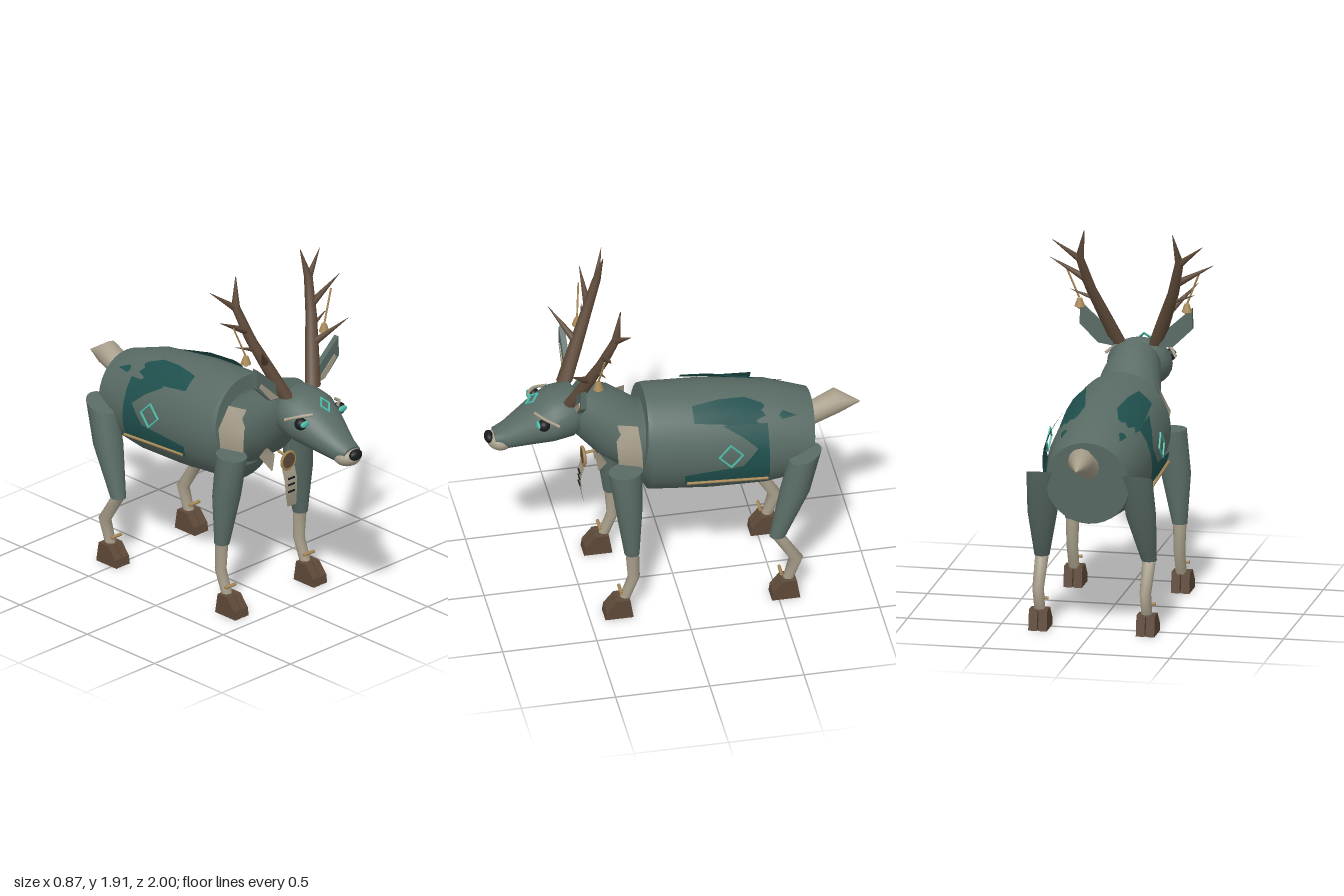
import * as THREE from 'three';

const mat = (name, color, side = THREE.FrontSide) => {
  const m = new THREE.MeshStandardMaterial({ color, side });
  m.name = name;
  return m;
};
const V = (p) => new THREE.Vector3(...p);
const UP = Math.PI / 2; // section tilt for vertical limbs

// Skin over elliptical sections [x, y, z, rx, ry, tilt], with flat end caps
function loft(sections, n = 24) {
  const pos = [], idx = [];
  const ring = ([x, y, z, rx, ry, t = 0]) => {
    for (let j = 0; j < n; j++) {
      const a = (j / n) * Math.PI * 2, u = Math.sin(a) * ry;
      pos.push(x + Math.cos(a) * rx, y + u * Math.cos(t), z + u * Math.sin(t));
    }
  };
  sections.forEach(ring);
  const [s, e] = [sections[0], sections[sections.length - 1]];
  const t = s[5] || 0;
  const forward = -Math.sin(t) * (e[1] - s[1]) + Math.cos(t) * (e[2] - s[2]) > 0;
  const tri = (a, b, c) => (forward ? idx.push(a, b, c) : idx.push(a, c, b));
  for (let i = 0; i < sections.length - 1; i++) {
    for (let j = 0; j < n; j++) {
      const k = (j + 1) % n, a = i * n, b = a + n;
      tri(a + j, a + k, b + j);
      tri(a + k, b + k, b + j);
    }
  }
  [s, e].forEach((sec, end) => {
    const base = pos.length / 3;
    ring(sec);
    for (let j = 1; j < n - 1; j++) {
      if (end) tri(base, base + j, base + j + 1);
      else tri(base, base + j + 1, base + j);
    }
  });
  return build(pos, idx);
}

function build(pos, idx) {
  const g = new THREE.BufferGeometry();
  g.setAttribute('position', new THREE.Float32BufferAttribute(pos, 3));
  g.setIndex(idx);
  g.computeVertexNormals();
  return g;
}

// Thin sheet through rows of points
function sheet(rows) {
  const w = rows[0].length, idx = [];
  for (let i = 0; i < rows.length - 1; i++) {
    for (let j = 0; j < w - 1; j++) {
      const a = i * w + j, b = a + w;
      idx.push(a, a + 1, b, a + 1, b + 1, b);
    }
  }
  return build(rows.flat(2), idx);
}

// Tapered rod between two points
function rod(a, b, r0, r1, n = 8) {
  const A = V(a), d = V(b).sub(A);
  const g = new THREE.CylinderGeometry(r1, r0, d.length(), n);
  g.translate(0, d.length() / 2, 0);
  g.applyQuaternion(new THREE.Quaternion().setFromUnitVectors(new THREE.Vector3(0, 1, 0), d.normalize()));
  return g.translate(A.x, A.y, A.z);
}

const ball = (c, r, n = 16) => new THREE.SphereGeometry(1, n, 12).scale(...r).translate(...c);

// Flat outline in x/y pushed along z
const slab = (pts, depth) => new THREE.ExtrudeGeometry(
  new THREE.Shape(pts.map((p) => new THREE.Vector2(...p))), { depth, bevelEnabled: false });

// Diamond frame lying in x/y
function diamond(w, h, t) {
  const pts = (k) => [[0, h * k], [-w * k, 0], [0, -h * k], [w * k, 0]].map((p) => new THREE.Vector2(...p));
  const s = new THREE.Shape(pts(1));
  s.holes.push(new THREE.Path(pts(1 - t)));
  return new THREE.ExtrudeGeometry(s, { depth: 0.008, bevelEnabled: false });
}

function mirrored(g) {
  const m = g.clone().scale(-1, 1, 1);
  const n = m.attributes.position.count;
  const src = m.index ? [...m.index.array] : [...Array(n).keys()];
  for (let i = 0; i < src.length; i += 3) [src[i + 1], src[i + 2]] = [src[i + 2], src[i + 1]];
  m.setIndex(src);
  m.computeVertexNormals();
  return m;
}

export function createModel() {
  const coat = mat('grey green coat', 0x596b65);
  const pale = mat('pale fur', 0xa89f8b, THREE.DoubleSide);
  const horn = mat('brown horn', 0x5e4a39);
  const cloth = mat('dark teal cloth', 0x1f504d, THREE.DoubleSide);
  const glow = mat('bright teal', 0x4fbba8);
  const black = mat('black', 0x191b1b);
  const gold = mat('dull gold', 0xa98a58);

  const model = new THREE.Group();
  const add = (name, geo, m) => {
    const mesh = new THREE.Mesh(geo, m);
    mesh.name = name;
    model.add(mesh);
  };
  const pair = (name, geo, m) => {
    add(name + 'Left', geo, m);
    add(name + 'Right', mirrored(geo), m);
  };

  // Trunk, neck, tail
  add('body', loft([
    [0, 0.965, 0.18, 0.24, 0.245, -0.1], [0, 0.92, 0.145, 0.265, 0.29, -0.05],
    [0, 0.895, -0.17, 0.272, 0.297], [0, 0.865, -0.485, 0.26, 0.277, -0.1],
    [0, 0.838, -0.708, 0.222, 0.225, -0.1]], 32), coat);
  add('neck', loft([
    [0, 0.94, 0.15, 0.19, 0.18, -0.15], [0, 0.945, 0.22, 0.2, 0.19, -0.15],
    [0, 1.06, 0.37, 0.165, 0.195, -0.2], [0, 1.175, 0.515, 0.13, 0.133, -0.35]]), coat);
  add('tail', loft([
    [0, 0.93, -0.72, 0.065, 0.068, -0.1], [0, 1.0, -0.87, 0.07, 0.067, 0.15],
    [0, 0.975, -0.995, 0.002, 0.002]], 12), pale);

  // Head
  add('head', loft([
    [0, 1.14, 0.487, 0.1, 0.085], [0, 1.155, 0.545, 0.16, 0.138], [0, 1.135, 0.65, 0.168, 0.135],
    [0, 1.1, 0.745, 0.135, 0.115], [0, 1.032, 0.89, 0.08, 0.07], [0, 1.035, 0.95, 0.058, 0.03]]), coat);
  add('muzzle', ball([0, 1.008, 0.915], [0.078, 0.053, 0.072]), pale);
  add('nose', ball([0, 1.03, 0.975], [0.042, 0.03, 0.025]), black);
  pair('eye', ball([0.14, 1.165, 0.71], [0.033, 0.033, 0.033]), black);
  pair('iris', ball([0.138, 1.17, 0.738], [0.03, 0.018, 0.012]), glow);
  pair('brow', new THREE.TubeGeometry(new THREE.CatmullRomCurve3(
    [[0.09, 1.215, 0.75], [0.14, 1.207, 0.71], [0.185, 1.178, 0.635]].map(V)), 8, 0.009, 6), pale);
  add('foreheadMark', diamond(0.033, 0.048, 0.3).rotateX(-0.82).translate(0, 1.24, 0.745), glow);

  // Ears with pale lining
  pair('ear', slab([[0.12, 1.25], [0.2, 1.262], [0.3, 1.36], [0.297, 1.47], [0.13, 1.32]], 0.03)
    .translate(0, 0, 0.515), coat);
  pair('earLining', slab([[0.14, 1.262], [0.2, 1.268], [0.28, 1.36], [0.265, 1.38]], 0.006)
    .translate(0, 0, 0.543), pale);

  // Antlers
  pair('antler', loft([
    [0.1, 1.26, 0.555, 0.042, 0.042, UP], [0.16, 1.42, 0.487, 0.037, 0.037, UP],
    [0.22, 1.58, 0.42, 0.03, 0.03, UP], [0.265, 1.76, 0.353, 0.023, 0.023, UP],
    [0.235, 1.915, 0.323, 0.002, 0.002, UP]], 10), horn);
  const tines = [
    [[0.175, 1.45, 0.48], [0.315, 1.59, 0.6], 0.022], [[0.235, 1.63, 0.405], [0.435, 1.74, 0.41], 0.022],
    [[0.262, 1.75, 0.355], [0.4, 1.865, 0.3], 0.02], [[0.2, 1.52, 0.44], [0.33, 1.57, 0.42], 0.014]];
  for (const [a, b, r] of tines) pair('tine', rod(a, b, r, 0.001), horn);
  pair('charmCord', rod([0.355, 1.69, 0.43], [0.288, 1.52, 0.45], 0.005, 0.005, 6), gold);
  pair('charmBell', rod([0.285, 1.472, 0.45], [0.285, 1.515, 0.45], 0.028, 0.013, 12), gold);
  pair('charmClapper', ball([0.285, 1.47, 0.45], [0.015, 0.013, 0.015], 10), gold);

  // Legs
  const hoof = [[0, 0], [0.15, 0], [0.143, 0.045], [0.09, 0.11], [0.018, 0.11]];
  const legs = [
    { name: 'front', hoofZ: 0.272, bandZ: 0.335,
      upper: [[0.24, 0.88, 0.297, 0.075, 0.09], [0.262, 0.65, 0.283, 0.08, 0.07], [0.285, 0.38, 0.272, 0.04, 0.04]],
      lower: [[0.285, 0.385, 0.27, 0.036, 0.036], [0.285, 0.23, 0.262, 0.031, 0.032], [0.285, 0.1, 0.31, 0.029, 0.029]] },
    { name: 'rear', hoofZ: -0.612, bandZ: -0.515,
      upper: [[0.25, 0.865, -0.655, 0.085, 0.09], [0.262, 0.65, -0.597, 0.08, 0.078], [0.285, 0.385, -0.5, 0.04, 0.043]],
      lower: [[0.285, 0.385, -0.5, 0.036, 0.036], [0.285, 0.23, -0.598, 0.031, 0.038], [0.285, 0.1, -0.555, 0.029, 0.029]] }];
  for (const { name, hoofZ, bandZ, upper, lower } of legs) {
    const tilt = name === 'rear' ? UP + 0.35 : UP + 0.05;
    pair(name + 'UpperLeg', loft(upper.map((s, i) => [...s, i ? UP : tilt]), 16), coat);
    pair(name + 'LowerLeg', loft(lower.map((s) => [...s, UP]), 12), pale);
    for (const x of [0.283, 0.335]) {
      pair(name + 'Hoof', slab(hoof, 0.046).rotateY(-UP).translate(x, 0, hoofZ), horn);
    }
    pair(name + 'AnkleBand', rod([0.248, 0.155, bandZ], [0.323, 0.155, bandZ], 0.009, 0.009), gold);
  }

  // Flank cloth: rows of height and front edge, wrapped round the trunk
  const flankX = (y) => 0.28 * Math.sqrt(1 - ((y - 0.89) / 0.31) ** 2) + 0.012;
  const edge = [[0.775, -0.01], [0.81, -0.01], [0.84, -0.01], [0.862, -0.32], [0.91, -0.36],
    [0.96, -0.4], [1.03, -0.32], [1.09, -0.22]];
  pair('flankCloth', sheet(edge.map(([y, z]) => [0, 1, 2, 3].map((i) => {
    const k = i / 3;
    return [flankX(y), y - 0.015 * k, z + (-0.46 - z) * k];
  }))), cloth);
  pair('flankTrim', rod([0.288, 0.79, -0.02], [0.288, 0.765, -0.45], 0.008, 0.008, 6), gold);
  pair('flankMark', diamond(0.068, 0.07, 0.16).rotateY(UP).rotateZ(0.1).translate(0.296, 0.94, -0.253), glow);

  // Back cloth strips
  const backY = (x, z) => {
    const k = Math.max(0, (-z - 0.17) / 0.54);
    return 0.9 - 0.062 * k + (0.3 - 0.07 * k) * Math.sqrt(1 - (x / (0.275 - 0.04 * k)) ** 2) + 0.018;
  };
  const strips = [[-0.075, 0.14, 0.21], [-0.22, 0.112, 0.215], [-0.36, 0.085, 0.218],
    [-0.49, 0.12, 0.188], [-0.625, 0.154, 0.156]];
  pair('backCloth', sheet(strips.map(([z, a, b]) => [0, 1, 2, 3].map((i) => {
    const x = a + ((b - a) * i) / 3;
    return [x, backY(x, z), z];
  }))), cloth);

  // Collar
  pair('collar', sheet([
    [[0.15, 1.12, 0.335], [0.185, 1.12, 0.22]], [[0.182, 1.0, 0.33], [0.25, 1.0, 0.21]],
    [[0.175, 0.88, 0.32], [0.225, 0.87, 0.2]]]), pale);
  pair('collarPoint', sheet([[[0.1, 0.9, 0.4], [0.09, 0.91, 0.41]],
    [[0.11, 0.85, 0.37], [0.045, 0.86, 0.42]], [[0.05, 0.76, 0.4], [0.045, 0.765, 0.405]]]), pale);

  // Chest medallion and hanging strip
  add('medallion', rod([0, 0.83, 0.465], [0, 0.83, 0.48], 0.046, 0.046, 20), horn);
  add('medallionRim', new THREE.TorusGeometry(0.048, 0.008, 6, 24).translate(0, 0.83, 0.475), gold);
  add('medallionLink', rod([0, 0.86, 0.4], [0, 0.85, 0.47], 0.008, 0.008, 6), gold);
  add('chestStrip', sheet([
    [[-0.045, 0.79, 0.475], [0.045, 0.79, 0.475]], [[-0.045, 0.72, 0.495], [0.045, 0.72, 0.495]],
    [[-0.035, 0.64, 0.492], [0.045, 0.64, 0.492]], [[-0.012, 0.57, 0.48], [0.052, 0.565, 0.48]]]), pale);
  for (const y of [0.735, 0.7, 0.66]) {
    add('stripBar', new THREE.BoxGeometry(0.045, 0.009, 0.006).translate(0.002, y, 0.496), black);
  }
  return model;
}
